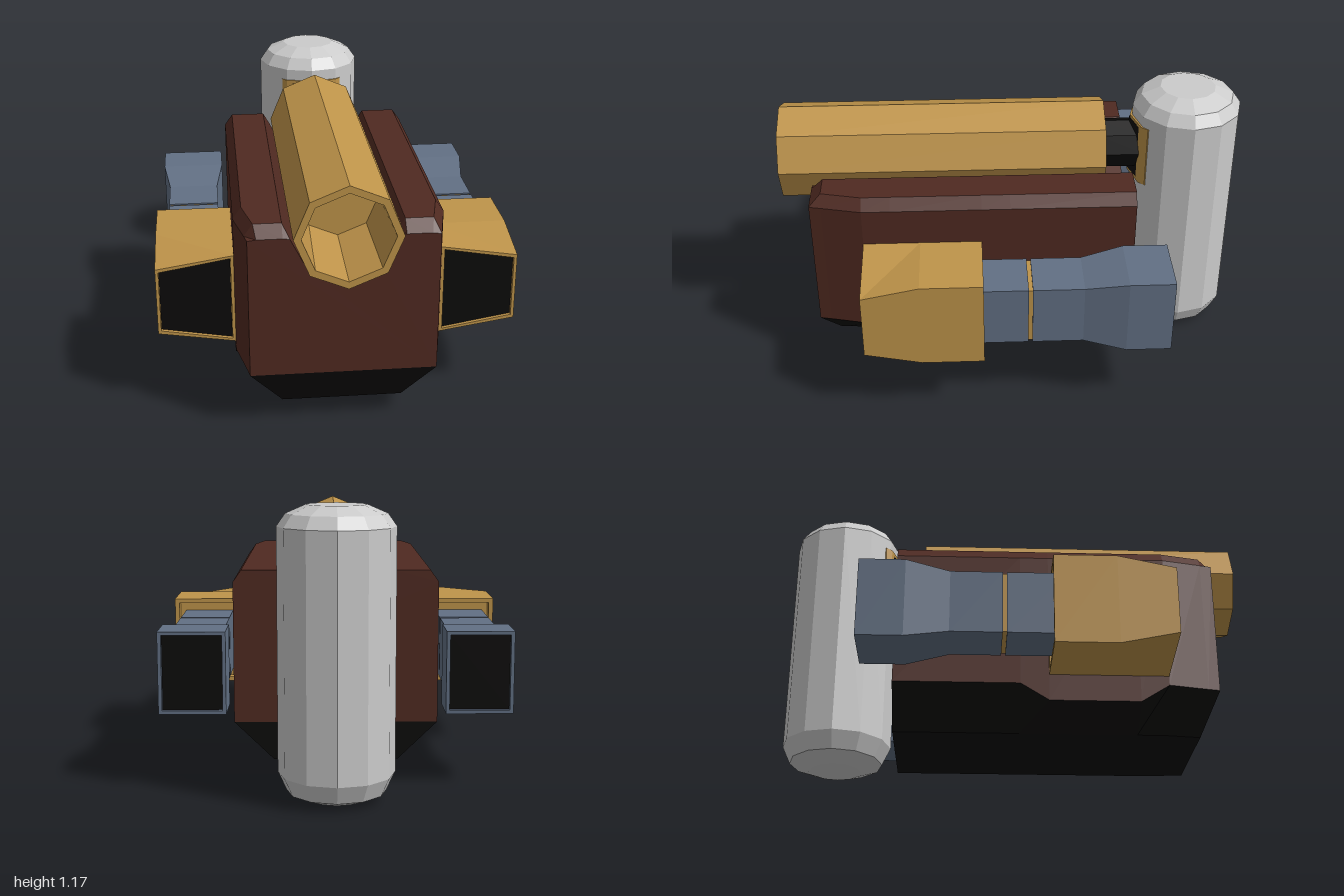
import * as THREE from 'three';

const mat = (color) => new THREE.MeshStandardMaterial({ color, flatShading: true });
const GOLD = mat(0xbf944a), BROWN = mat(0x502a21), BLACK = mat(0x0c0b0a), BLUE = mat(0x627084), GREY = mat(0xcccccc);

// Skin rings of [x, y, z] points, listed from back to front, and cap both ends.
function loft(rings) {
  const flat = (r) => r.map((p) => new THREE.Vector2(p[0], p[1]));
  if (THREE.ShapeUtils.area(flat(rings[0])) < 0) rings = rings.map((r) => [...r].reverse());
  const out = [];
  const n = rings[0].length;
  for (let i = 0; i < rings.length - 1; i++) {
    for (let j = 0; j < n; j++) {
      const k = (j + 1) % n;
      const a = rings[i][j], b = rings[i][k], c = rings[i + 1][k], d = rings[i + 1][j];
      out.push(...a, ...b, ...d, ...b, ...c, ...d);
    }
  }
  const cap = (r, flip) => {
    for (const [a, b, c] of THREE.ShapeUtils.triangulateShape(flat(r), [])) {
      out.push(...r[a], ...r[flip ? c : b], ...r[flip ? b : c]);
    }
  };
  cap(rings[0], true);
  cap(rings[rings.length - 1], false);
  const g = new THREE.BufferGeometry();
  g.setAttribute('position', new THREE.Float32BufferAttribute(out, 3));
  g.computeVertexNormals();
  return g;
}

// Mirror a right-hand half outline (bottom to top) into a closed ring.
function symmetric(half) {
  const left = half.filter((p) => p[0] > 0).map(([x, y, z]) => [-x, y, z]).reverse();
  return [...half, ...left];
}

// Four-cornered ring; the outer edge may be shorter than the inner one.
const quad = (s, x0, x1, h0, h1, z, inset = 0) => {
  const y = 0.485, a = x0 + inset, b = x1 - inset, p = h0 - inset, q = h1 - inset;
  return [[s * a, y - p, z], [s * b, y - q, z], [s * b, y + q, z], [s * a, y + p, z]];
};

export function createModel() {
  const model = new THREE.Group();
  const add = (name, geo, material, parent = model) => {
    const m = new THREE.Mesh(geo, material);
    m.name = name;
    parent.add(m);
    return m;
  };

  // Stations along the hull: z, half width, lower edge, top height
  const stations = [
    [-0.51, 0.425, 0.25, 0.89], [0.02, 0.425, 0.25, 0.89], [0.14, 0.425, 0.175, 0.89],
    [0.52, 0.425, 0.175, 0.89], [0.64, 0.425, 0.25, 0.89], [0.81, 0.387, 0.25, 0.89],
    [0.86, 0.377, 0.25, 0.845],
  ];

  // Hull with a trough along its top
  add('body', loft(stations.map(([z, w, e, t]) => symmetric([
    [w, e, z], [w, 0.84, z], [w - 0.035, t, z], [0.24, t, z],
    [0.212, 0.842, z], [0.15, 0.72, z], [0, 0.66, z],
  ]))), BROWN);

  // Bevelled underside
  add('underside', loft(stations.map(([z, w, e]) => {
    const b = z > 0.7 ? 0.245 : 0.26;
    const zb = z > 0.85 ? 0.79 : Math.min(z, 0.76);
    return [[-w, e, z], [-b, 0.09, zb], [b, 0.09, zb], [w, e, z]];
  })), BLACK);

  // Octagonal barrel with a bored front
  const barrel = [[0, -0.4], [0.21, -0.4], [0.21, 1], [0.18, 1], [0.165, 0.6], [0, 0.6]];
  const barrelGeo = new THREE.LatheGeometry(barrel.map((p) => new THREE.Vector2(...p)), 8);
  add('barrel', barrelGeo.rotateX(Math.PI / 2), GOLD).position.y = 0.9;

  // Pipe joining barrel and tank
  const pipe = new THREE.CylinderGeometry(0.11, 0.11, 0.2, 8).rotateX(Math.PI / 2);
  add('connectingPipe', pipe, BLACK).position.set(0, 0.9, -0.48);

  // Upright tank with rounded ends
  const tank = [[0, 0], [0.11, 0], [0.2, 0.035], [0.235, 0.11], [0.235, 1.09], [0.2, 1.14], [0.12, 1.175], [0, 1.175]];
  add('tank', new THREE.LatheGeometry(tank.map((p) => new THREE.Vector2(...p)), 12), GREY).position.z = -0.765;

  // Collar wrapped around the front of the tank, with a dark panel
  const collar = (w, h, out) => {
    const rows = [[-w, -0.58], [-w * 0.85, -0.555], [0, -0.52], [w * 0.85, -0.555], [w, -0.58]];
    const s = new THREE.Shape();
    rows.forEach(([x, z], i) => (i ? s.lineTo(x, -z - out) : s.moveTo(x, -z - out)));
    [...rows].reverse().forEach(([x, z]) => s.lineTo(x, -z + 0.015));
    return new THREE.ExtrudeGeometry(s, { depth: h, bevelEnabled: false })
      .rotateX(-Math.PI / 2).translate(0, 0.9 - h / 2, 0);
  };
  add('collar', collar(0.14, 0.28, 0), GOLD);
  add('collarPanel', collar(0.122, 0.25, 0.004), BLACK);

  for (const s of [1, -1]) {
    const pod = new THREE.Group();
    pod.name = s > 0 ? 'leftPod' : 'rightPod';
    model.add(pod);
    const Q = (...a) => quad(s, ...a);

    // Intake box, recessed at both ends
    const [a, b, h, hf] = [0.425, 0.742, 0.195, 0.145];
    add('intake', loft([
      Q(a, b, h, h, 0.19, 0.02), Q(a, b, h, h, 0.14, 0.02), Q(a, b, h, h, 0.14),
      Q(a, b, h, h, 0.4), Q(a, b, h, hf, 0.64), Q(a, b, h, hf, 0.64, 0.013), Q(a, b, h, hf, 0.62, 0.013),
    ]), GOLD, pod);
    add('intakeOpening', loft([Q(a, b, h, hf, 0.6, 0.014), Q(a, b, h, hf, 0.626, 0.014)]), BLACK, pod);

    // Duct in two sections with a band between, flaring to the rear nozzle
    const D = (z, grow = 0, inset = 0) =>
      Q(0.475 - 0.028 * grow, 0.695 + 0.028 * grow, 0.135 + 0.035 * grow, 0.135 + 0.035 * grow, z, inset);
    add('duct', loft([D(-0.045), D(0.2)]), BLUE, pod);
    add('ductBand', loft([D(-0.08, 0, 0.006), D(-0.03, 0, 0.006)]), GOLD, pod);
    add('nozzle', loft([
      D(-0.625, 1, 0.015), D(-0.645, 1, 0.015), D(-0.645, 1), D(-0.455, 1), D(-0.275), D(-0.062),
    ]), BLUE, pod);
    add('nozzleOpening', loft([D(-0.631, 1, 0.016), D(-0.61, 1, 0.016)]), BLACK, pod);
  }
  return model;
}
